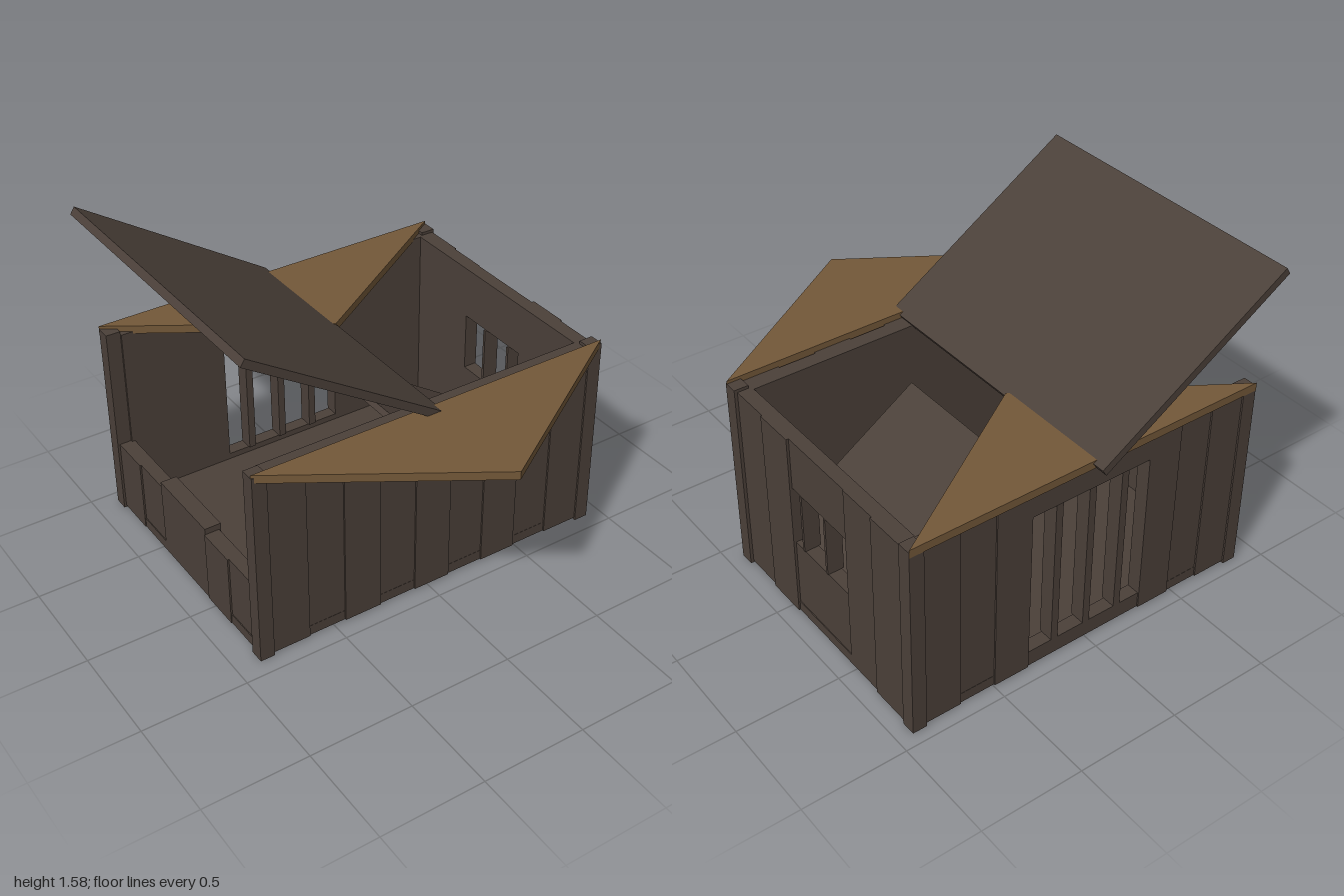
import * as THREE from 'three';

export function createModel() {
  const hut = new THREE.Group();
  hut.name = 'hut';
  const darkWood = new THREE.MeshStandardMaterial({ color: 0x4b4039 });
  darkWood.name = 'dark wood';
  const goldWood = new THREE.MeshStandardMaterial({ color: 0x735839 });
  goldWood.name = 'golden wood';

  function add(name, geometry, material = darkWood, parent = hut) {
    const mesh = new THREE.Mesh(geometry, material);
    mesh.name = name;
    parent.add(mesh);
    return mesh;
  }
  // Box given by its two limits on each axis
  function box(name, x0, x1, y0, y1, z0, z1, parent = hut) {
    const mesh = add(name, new THREE.BoxGeometry(x1 - x0, y1 - y0, z1 - z0), darkWood, parent);
    mesh.position.set((x0 + x1) / 2, (y0 + y1) / 2, (z0 + z1) / 2);
    return mesh;
  }

  // Row of upright boards between a and b, every other one standing slightly proud
  function boards(name, alongX, a, b, count, y0, y1, inner, outer) {
    const row = new THREE.Group();
    row.name = name;
    hut.add(row);
    const w = (b - a) / count;
    for (let i = 0; i < count; i++) {
      const out = outer + (i % 2 ? 0 : 0.008 * Math.sign(outer - inner));
      const lo = Math.min(inner, out), hi = Math.max(inner, out);
      const s = a + i * w, e = s + w;
      if (alongX) box('board', s, e, y0, y1, lo, hi, row);
      else box('board', lo, hi, y0, y1, s, e, row);
    }
  }

  // Floor
  box('floor', -0.87, 0.91, 0.02, 0.07, -0.925, 0.405);

  // Corner posts
  for (const x of [-0.885, 0.855])
    for (const z of [-0.94, 0.35]) box('cornerPost', x, x + 0.07, 0.01, 0.985, z, z + 0.07);

  // Front wall
  boards('frontWall', true, -0.885 + 0.07, 0.855, 9, 0.02, 0.97, 0.33, 0.404);

  // Back wall with barred opening
  boards('backWallLeft', true, 0.32, 0.855, 3, 0.02, 0.97, -0.86, -0.924);
  boards('backWallRight', true, -0.815, -0.3, 3, 0.02, 0.97, -0.86, -0.924);
  box('backSill', -0.3, 0.32, 0.02, 0.1, -0.925, -0.86);
  box('backLintel', -0.3, 0.32, 0.85, 0.97, -0.932, -0.86);
  for (const x of [-0.175, 0, 0.175]) box('backBar', x - 0.018, x + 0.018, 0.1, 0.85, -0.925, -0.85);

  // Window wall on the left
  boards('windowWallFront', false, -0.055, 0.35, 2, 0.02, 0.97, 0.84, 0.91);
  boards('windowWallBack', false, -0.87, -0.465, 2, 0.02, 0.97, 0.84, 0.91);
  box('windowApron', 0.84, 0.906, 0.02, 0.412, -0.465, -0.055);
  box('windowLintel', 0.84, 0.906, 0.71, 0.97, -0.465, -0.055);
  for (const z of [-0.125, -0.305]) box('windowBar', 0.83, 0.91, 0.412, 0.71, z - 0.007, z + 0.007);

  // Low open wall on the right
  boards('lowWallBack', false, -0.87, -0.465, 2, 0.02, 0.38, -0.8, -0.866);
  boards('lowWallFront', false, -0.055, 0.35, 2, 0.02, 0.38, -0.8, -0.866);
  box('lowWallMiddle', -0.87, -0.79, 0.02, 0.41, -0.465, -0.055);

  // Flat triangular gable pieces, both pointing towards the front
  for (const [name, z] of [['frontGable', 0.412], ['backGable', -0.942]]) {
    const shape = new THREE.Shape([
      new THREE.Vector2(-0.885, 0),
      new THREE.Vector2(0.925, 0),
      new THREE.Vector2(0.02, 0.578),
    ]);
    const geometry = new THREE.ExtrudeGeometry(shape, { depth: 0.04, bevelEnabled: false });
    geometry.rotateX(Math.PI / 2);
    const gable = add(name, geometry, goldWood);
    gable.position.set(0, 1.0, z);
  }

  // Sloping panel whose centre line runs from (x0, y0) to (x1, y1)
  function slopingPanel(name, x0, y0, x1, y1, thick, zBack, zFront) {
    const length = Math.hypot(x1 - x0, y1 - y0);
    const panel = add(name, new THREE.BoxGeometry(length, thick, zFront - zBack));
    panel.position.set((x0 + x1) / 2, (y0 + y1) / 2, (zBack + zFront) / 2);
    panel.rotation.z = Math.atan2(y1 - y0, x1 - x0);
  }
  slopingPanel('raisedRoofPanel', -0.923, 1.573, 0.015, 0.972, 0.038, -1.0, 0.47);
  slopingPanel('innerSlopingPanel', 0.05, 0.69, 0.755, 0.225, 0.03, -0.54, 0.28);

  return hut;
}
